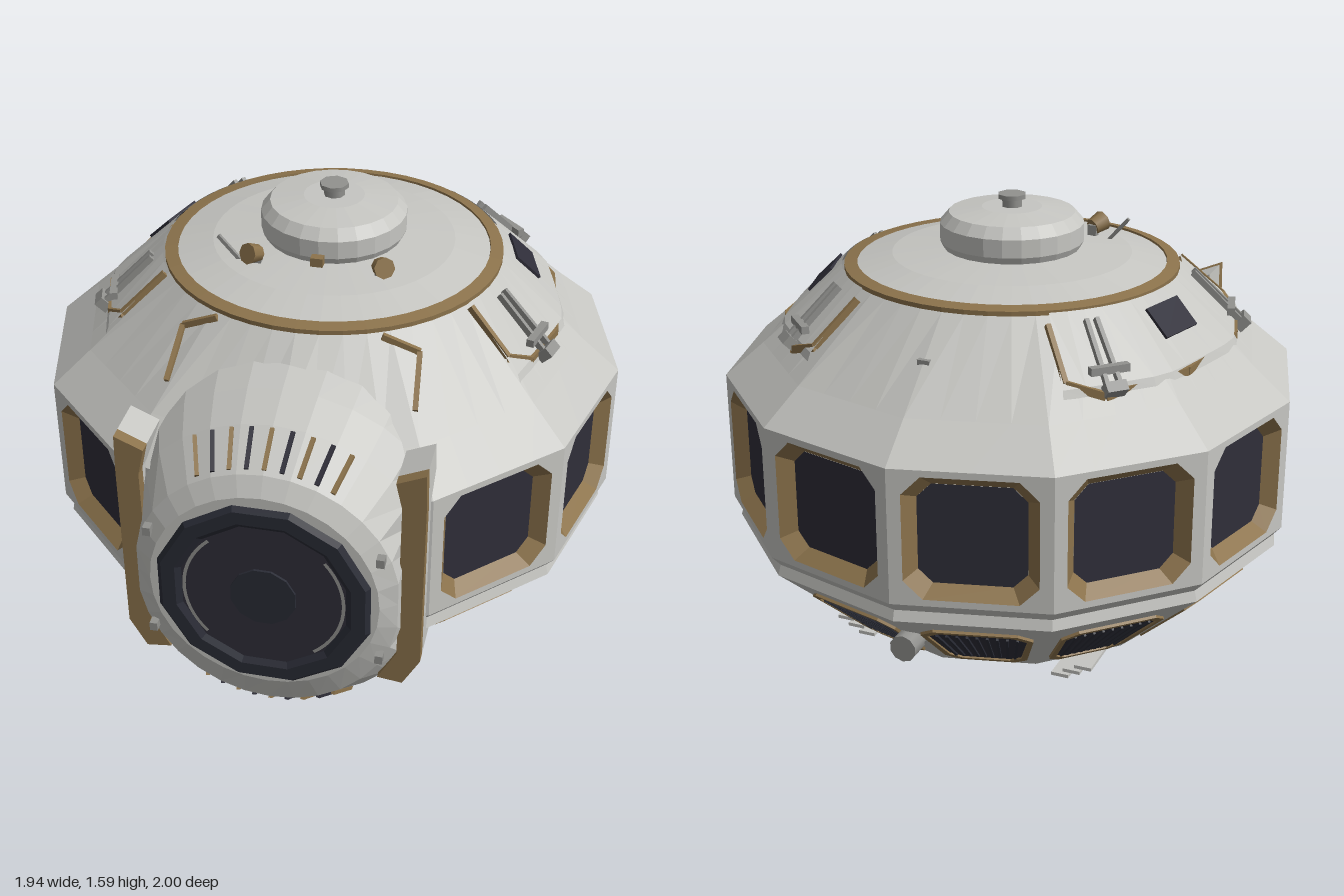
import * as THREE from 'three';

const mat = (name, color, side = THREE.FrontSide) =>
  Object.assign(new THREE.MeshStandardMaterial({ color, side }), { name });
const WHITE = mat('hullWhite', 0xc6c6c2, THREE.DoubleSide);
const GOLD = mat('goldTrim', 0x8c734c, THREE.DoubleSide);
const GLASS = mat('darkGlass', 0x2f2e39, THREE.DoubleSide);
const DARK = mat('doorDark', 0x2a2c36);
const GREY = mat('metalGrey', 0x92928f);
const UNDER = mat('undersideGrey', 0x6c6c69, THREE.DoubleSide);

const V = (x, y, z) => new THREE.Vector3(x, y, z);
const rad = THREE.MathUtils.degToRad, lerp = THREE.MathUtils.lerp;
const ZC = -0.03, STEP = rad(30), COS = Math.cos(rad(15));

// Flat-faced skin through a list of point rings
function loft(rings, closed = true) {
  const pos = [], n = rings[0].length;
  for (let j = 0; j < rings.length - 1; j++)
    for (let i = 0; i < (closed ? n : n - 1); i++) {
      const k = (i + 1) % n, [a, b] = [rings[j], rings[j + 1]];
      for (const p of [a[i], a[k], b[k], a[i], b[k], b[i]]) pos.push(p.x, p.y, p.z);
    }
  const g = new THREE.BufferGeometry();
  g.setAttribute('position', new THREE.Float32BufferAttribute(pos, 3));
  g.computeVertexNormals();
  return g;
}

function add(parent, name, geo, material, x = 0, y = 0, z = 0) {
  const m = new THREE.Mesh(geo, material);
  m.name = name;
  m.position.set(x, y, z);
  parent.add(m);
  return m;
}

// Box beam running from p to q
function bar(parent, name, p, q, w, h, material) {
  const m = new THREE.Mesh(new THREE.BoxGeometry(w, h, p.distanceTo(q)), material);
  m.name = name;
  m.position.copy(p).add(q).multiplyScalar(0.5);
  m.lookAt(q);
  parent.add(m);
  return m;
}

// Hull point: angle from the front; round 0 = twelve-sided, 1 = circular
function hull(a, r, y, round = 0) {
  const off = ((a % STEP) + STEP) % STEP - STEP / 2;
  const f = lerp(COS / Math.cos(off), 1, round);
  return V(r * f * Math.sin(a), y, ZC + r * f * Math.cos(a));
}
const ring = (r, y, round = 0, n = 48) =>
  Array.from({ length: n }, (_, i) => hull(i / n * Math.PI * 2, r, y, round));
const roof = (deg, t, lift = 0) =>
  hull(rad(deg), 0.84, 1.11).lerp(hull(rad(deg), 0.56, 1.355, 1), t).add(V(0, lift, 0));

// Outline with cut corners; b and t are the bottom and top half widths
const cutCorners = (b, t, h, c) => [[-b + c, -h], [b - c, -h], [b, -h + c], [t, h - c],
  [t - c, h], [-t + c, h], [-t, h - c], [-b, -h + c]].map(p => new THREE.Vector2(...p));
const at = (pts, z) => pts.map(p => V(p.x, p.y, z));

function addFacet(root, k) {
  const facet = new THREE.Group();
  facet.name = 'hullFacet';
  facet.rotation.y = rad(15 + 30 * k);
  facet.position.z = ZC;
  root.add(facet);
  const front = k === 0 || k === 11, half = 0.97 * Math.sin(rad(15));
  const wall = new THREE.Group();
  wall.name = 'windowBay';
  wall.position.set(0, 0.775, 0.97 * COS);
  facet.add(wall);
  const shape = new THREE.Shape([[-half, -0.225], [half, -0.225], [half, 0.225], [-half, 0.225]]
    .map(p => new THREE.Vector2(...p)));
  const outer = cutCorners(0.208, 0.208, 0.203, 0.06);
  if (!front) shape.holes.push(new THREE.Path(outer));
  add(wall, 'wallPanel', new THREE.ShapeGeometry(shape), WHITE);
  if (front) return;
  // Recessed window with a bevelled surround
  const inner = cutCorners(0.168, 0.168, 0.165, 0.045);
  add(wall, 'windowFrame', loft([at(outer, 0), at(inner, -0.045)]), GOLD);
  add(wall, 'windowGlass', new THREE.ShapeGeometry(new THREE.Shape(inner)), GLASS, 0, 0, -0.044);
  // Slatted lower window
  const low = new THREE.Group(), t = 0.46;
  low.name = 'lowerWindow';
  low.position.set(0, lerp(0.16, 0.48, t), lerp(0.6, 0.95, t) * COS);
  low.rotation.x = Math.atan2(0.35 * COS, 0.32);
  facet.add(low);
  const rim = cutCorners(0.135, 0.178, 0.175, 0.045), pane = cutCorners(0.117, 0.158, 0.155, 0.04);
  add(low, 'lowerFrame', loft([at(rim, 0), at(rim, 0.009), at(pane, 0.009), at(pane, 0.002)]), GOLD);
  add(low, 'lowerGlass', new THREE.ShapeGeometry(new THREE.Shape(pane)), GLASS, 0, 0, 0.003);
  for (let i = -4; i <= 4; i++)
    bar(low, 'slat', V(i * 0.024, -0.125, 0.006), V(i * 0.032, 0.125, 0.006), 0.008, 0.008, DARK);
}

function addRoof(root) {
  add(root, 'shoulder', loft([ring(0.97, 1), ring(0.84, 1.11)]), WHITE);
  add(root, 'roof', loft([ring(0.84, 1.11), ring(0.56, 1.355, 1)]), WHITE);
  add(root, 'roofRing', loft([ring(0.56, 1.35, 1), ring(0.56, 1.37, 1), ring(0.518, 1.378, 1),
    ring(0.515, 1.36, 1)]), GOLD);
  add(root, 'dome', loft([ring(0.52, 1.37, 1), ring(0.4, 1.4, 1), ring(0.2, 1.42, 1)]), WHITE);
  const hub = [[0.22, 1.4], [0.24, 1.44], [0.24, 1.5], [0.21, 1.535], [0.1, 1.55], [0, 1.55]];
  add(root, 'topHub', loft(hub.map(([r, y]) => ring(r, y, 1, 24))), WHITE);
  add(root, 'mast', new THREE.CylinderGeometry(0.035, 0.035, 0.05, 8), GREY, 0, 1.565, ZC);
  add(root, 'mastCap', new THREE.CylinderGeometry(0.048, 0.048, 0.015, 8), GREY, 0, 1.585, ZC);
  add(root, 'hubLatch', new THREE.BoxGeometry(0.04, 0.03, 0.03), GOLD, 0, 1.44, 0.225);
  add(root, 'rearFitting', new THREE.BoxGeometry(0.04, 0.03, 0.04), GREY, 0, 1.23, -0.71);
  bar(root, 'whip', V(-0.26, 1.4, 0.2), V(-0.33, 1.48, 0.2), 0.012, 0.012, GREY);

  for (const s of [1, -1]) {
    // Raised side panel with gold edging
    const arc = (t, lift) => Array.from({ length: 16 }, (_, i) => roof(s * lerp(60, 146, i / 15), t, lift));
    add(root, 'sidePanel', loft([arc(0.2, 0), arc(0.24, 0.018), arc(0.97, 0.018)], false), WHITE);
    const edge = [[60, 0.95], [61, 0.42], [68, 0.25], [84, 0.23], [112, 0.21], [136, 0.16], [145, 0.32], [147, 0.88]]
      .map(([d, t]) => roof(s * d, t, 0.008));
    edge.slice(1).forEach((p, i) => bar(root, 'panelEdge', edge[i], p, 0.016, 0.026, GOLD));
    const flank = [[27, 0.95], [37, 0.75], [31, 0.28]].map(([d, t]) => roof(s * d, t, 0.006));
    flank.slice(1).forEach((p, i) => bar(root, 'hoodEdge', flank[i], p, 0.016, 0.02, GOLD));
    bar(root, 'roofVent', roof(s * 106, 0.52, 0.022), roof(s * 106, 0.84, 0.022), 0.17, 0.009, GLASS);
    // Hinged arms
    for (const d of [74, 134]) {
      for (const o of [-1.6, 1.6])
        bar(root, 'arm', roof(s * (d + o), 0.12, 0.035), roof(s * (d + o), 0.82, 0.035), 0.014, 0.02, GREY);
      bar(root, 'armCross', roof(s * (d - 5), 0.3, 0.045), roof(s * (d + 5), 0.3, 0.045), 0.025, 0.025, GREY);
      bar(root, 'armFoot', roof(s * d, 0.1, 0.03), roof(s * d, 0.2, 0.03), 0.07, 0.05, GREY);
    }
    // Lamps beside the hub
    const lamp = add(root, 'lamp', new THREE.CylinderGeometry(0.035, 0.028, 0.05, 8), GOLD, s * 0.21, 1.445, 0.23);
    lamp.rotation.set(1.2, 0, -s * 0.5);
    add(root, 'lampBase', new THREE.BoxGeometry(0.03, 0.06, 0.03), GREY, s * 0.2, 1.415, 0.21);
  }
}

function addUnderside(root) {
  add(root, 'lowerHull', loft([ring(0.6, 0.16), ring(0.95, 0.48), ring(0.94, 0.515), ring(0.97, 0.55)]), WHITE);
  add(root, 'belly', loft([ring(0.3, 0.08, 1), ring(0.4, 0.095, 1), ring(0.42, 0.125, 1),
    ring(0.54, 0.135, 0.5), ring(0.6, 0.16)]), UNDER);
  const foot = [[0, 0.02], [0.1, 0.02], [0.12, 0], [0.16, 0], [0.2, 0.025], [0.22, 0.065], [0.31, 0.08]];
  add(root, 'footHub', loft(foot.map(([r, y]) => ring(r, y, 1, 12))), UNDER);
  for (const s of [1, -1]) for (const z of [0.2, -0.4]) for (let i = 0; i < 3; i++)
    add(root, 'step', new THREE.BoxGeometry(0.06, 0.012, 0.17), WHITE, s * (0.36 + i * 0.04), 0.095 + i * 0.022, z);
  // Rear nozzle
  bar(root, 'nozzleArm', V(0, 0.35, -0.72), V(0, 0.35, -0.86), 0.05, 0.05, GREY);
  const n = add(root, 'nozzle', new THREE.CylinderGeometry(0.045, 0.045, 0.07, 10), GREY, 0, 0.35, -0.885);
  n.rotation.x = Math.PI / 2;
}

function addEntry(root) {
  // Barrel hood, trimmed flat at the sides and fuller below
  const circle = (r, z, n = 32) => Array.from({ length: n }, (_, i) => {
    const a = i / n * Math.PI * 2, y = r * Math.sin(a);
    return V(THREE.MathUtils.clamp(r * Math.cos(a), -0.41, 0.41), 0.7 + (y < 0 && r > 0.4 ? Math.max(y * 1.1, -0.6) : y), z);
  });
  const hood = [[0.5, 0.3], [0.61, 0.42], [0.61, 0.53], [0.56, 0.7], [0.51, 0.82], [0.42, 0.95], [0.36, 0.985], [0.32, 0.985]];
  add(root, 'entryHood', loft(hood.map(([r, z]) => circle(r, z))), WHITE);
  // Hood slots above and below the door
  for (let i = -4; i <= 4; i++) for (const s of [1, -1]) {
    const a = i * 0.125, k = s > 0 ? 1 : 1.1;
    const p = (r, z) => V(r * Math.sin(a), 0.7 + s * k * r * Math.cos(a), z);
    bar(root, 'hoodSlot', p(0.505, 0.828), p(0.43, 0.938), 0.013, 0.012, i % 2 ? GLASS : GOLD);
  }
  // Round door
  const disc = (r, z) => Array.from({ length: 12 }, (_, i) => {
    const a = (i + 0.5) * STEP;
    return V(r * Math.cos(a), 0.69 + r * Math.sin(a), z);
  });
  add(root, 'doorRim', loft([[0.345, 0.94], [0.345, 0.985], [0.33, 1], [0.285, 1], [0.265, 0.985]]
    .map(p => disc(...p))), DARK);
  add(root, 'doorPanel', loft([disc(0.27, 0.986), disc(0, 0.986)]), GLASS);
  add(root, 'doorCentre', loft([disc(0.105, 0.986), disc(0.105, 0.994), disc(0, 0.994)]), DARK);
  for (const start of [-0.9, 2.3])
    add(root, 'doorArc', new THREE.RingGeometry(0.245, 0.256, 16, 1, start, 1.6), GREY, 0, 0.69, 0.988);
  // Side fins: gold face with a white backing
  for (const s of [1, -1]) {
    const fin = new THREE.Shape([[0.385, 1.11], [0.405, 1.02], [0.4, 0.45], [0.34, 0.34], [0.42, 0.33],
      [0.475, 0.43], [0.478, 1.02], [0.475, 1.15]].map(([x, y]) => new THREE.Vector2(s * x, y)));
    add(root, 'finFace', new THREE.ExtrudeGeometry(fin, { depth: 0.04, bevelEnabled: false }), GOLD, 0, 0, 0.855);
    add(root, 'finBack', new THREE.ExtrudeGeometry(fin, { depth: 0.13, bevelEnabled: false }), WHITE, 0, 0, 0.725);
    for (const y of [0.5, 0.88])
      add(root, 'finBolt', new THREE.BoxGeometry(0.025, 0.03, 0.03), GREY, s * 0.36, y, 0.975);
  }
}

export function createModel() {
  const root = new THREE.Group();
  root.name = 'spacePod';
  for (let k = 0; k < 12; k++) addFacet(root, k);
  addRoof(root);
  addUnderside(root);
  addEntry(root);
  return root;
}
